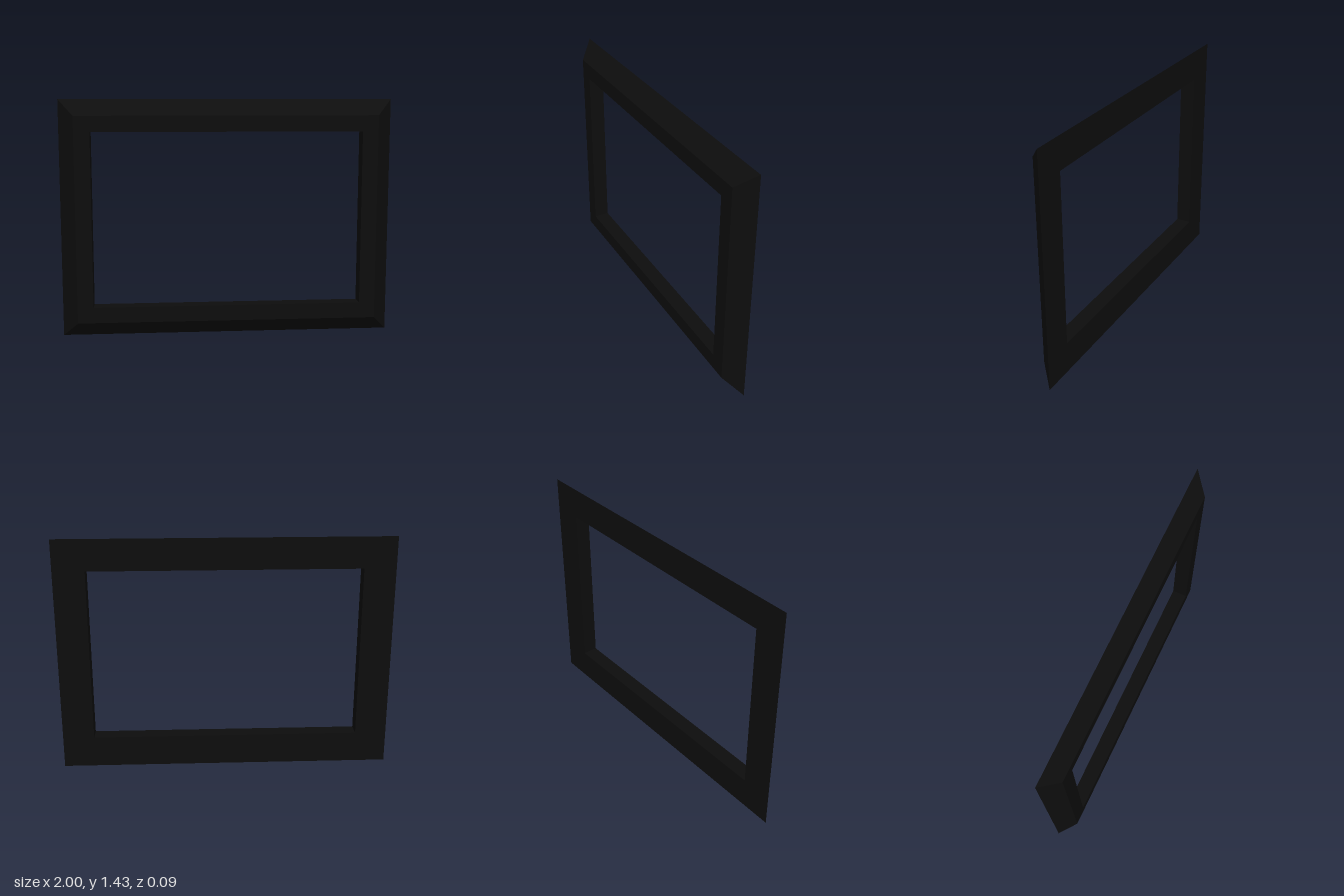
import * as THREE from 'three';

const HEIGHT = 1.43, DEPTH = 0.094;

// Moulding cross-section: [inset from the outer edge, z], bevelled on the outside
const PROFILE = [
  [0, -DEPTH / 2],
  [0.095, DEPTH / 2],
  [0.19, DEPTH / 2],
  [0.19, -DEPTH / 2],
];

// Corner directions, counter-clockwise seen from the front
const CORNERS = [[-1, -1], [1, -1], [1, 1], [-1, 1]];

// Point of the cross-section at one mitred corner
function cornerPoint([sx, sy], [inset, z]) {
  return [sx * (1 - inset), HEIGHT / 2 + sy * (HEIGHT / 2 - inset), z];
}

// One rail between two mitred corners
function railGeometry(from, to) {
  const positions = [];
  PROFILE.forEach((p, i) => {
    const q = PROFILE[(i + 1) % PROFILE.length];
    const a = cornerPoint(from, p), b = cornerPoint(to, p);
    const c = cornerPoint(to, q), d = cornerPoint(from, q);
    positions.push(...a, ...b, ...c, ...a, ...c, ...d);
  });
  const geometry = new THREE.BufferGeometry();
  geometry.setAttribute('position', new THREE.Float32BufferAttribute(positions, 3));
  geometry.computeVertexNormals();
  return geometry;
}

export function createModel() {
  const frame = new THREE.Group();
  frame.name = 'pictureFrame';
  const black = new THREE.MeshStandardMaterial({ color: 0x0d0d0d });

  // Four mitred rails around the open centre
  ['bottomRail', 'leftRail', 'topRail', 'rightRail'].forEach((name, i) => {
    const rail = new THREE.Mesh(railGeometry(CORNERS[i], CORNERS[(i + 1) % 4]), black);
    rail.name = name;
    frame.add(rail);
  });
  return frame;
}
